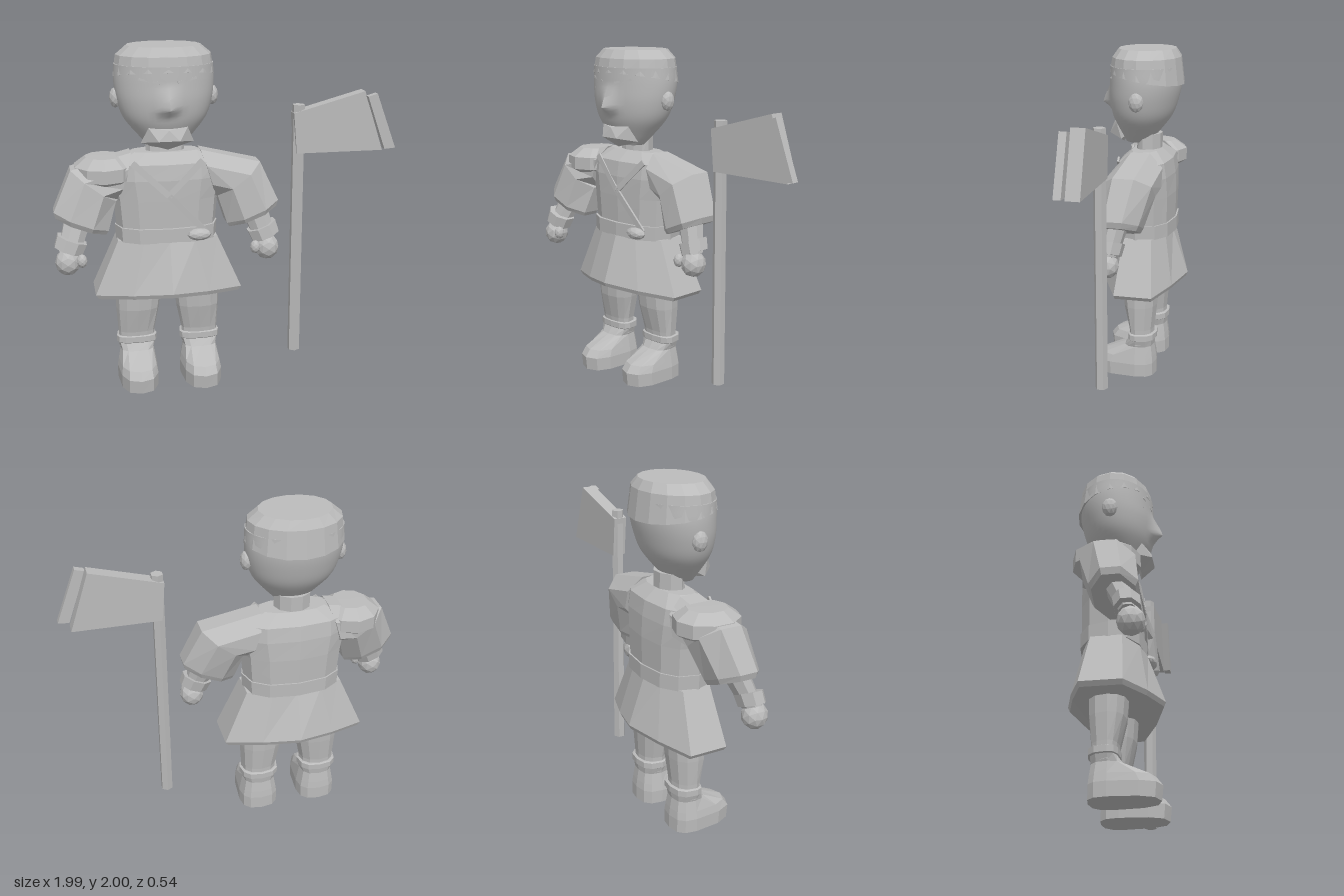
import * as THREE from 'three';
import { toCreasedNormals } from 'three/addons/utils/BufferGeometryUtils.js';
import { ConvexGeometry } from 'three/addons/geometries/ConvexGeometry.js';

const FLAT = 0.02;
const CX = -0.34; // centre line of the figure

// Skin a stack of rings (arrays of [x, y, z]) running bottom to top, with closed ends
function loft(rings, crease = FLAT) {
  const n = rings[0].length, pos = [], idx = [];
  rings.forEach(r => r.forEach(p => pos.push(...p)));
  for (let k = 0; k < rings.length - 1; k++) {
    for (let i = 0; i < n; i++) {
      const a = k * n + i, b = k * n + (i + 1) % n;
      idx.push(a, b, b + n, a, b + n, a + n);
    }
  }
  const top = (rings.length - 1) * n;
  for (let i = 1; i < n - 1; i++) {
    idx.push(0, i + 1, i);
    idx.push(top, top + i, top + i + 1);
  }
  const g = new THREE.BufferGeometry();
  g.setAttribute('position', new THREE.Float32BufferAttribute(pos, 3));
  g.setIndex(idx);
  return toCreasedNormals(g, crease);
}

// Level oval ring; power under 1 makes it boxier, tilt raises the front
function oval([y, rx, zf, zb, cx = 0, tilt = 0], n = 12, power = 1) {
  const out = [], bend = v => Math.sign(v) * Math.abs(v) ** power;
  for (let i = 0; i < n; i++) {
    const a = (i / n) * Math.PI * 2;
    const s = -bend(Math.sin(a));
    const z = s > 0 ? s * zf : -s * zb;
    out.push([cx + rx * bend(Math.cos(a)), y + tilt * z, z]);
  }
  return out;
}

// Tilted ring for arms: centre, outward half vector (ux, uy) and half depth
function armRing([x, y, z, ux, uy, rz], side, n = 8) {
  const out = [], k = 1 / Math.cos(Math.PI / n);
  for (let i = 0; i < n; i++) {
    const a = ((i + 0.5) / n) * Math.PI * 2;
    const c = Math.cos(a) * k, s = Math.sin(a) * k;
    out.push([side * x + ux * c, y + side * uy * c, z - rz * s]);
  }
  return out;
}

export function createModel() {
  const model = new THREE.Group();
  const figure = new THREE.Group();
  figure.name = 'figure';
  figure.position.x = CX;
  const grey = new THREE.MeshStandardMaterial({ color: 0xbbbbbb });
  grey.name = 'grey';

  const add = (name, geometry, parent = figure, position = [0, 0, 0], scale = [1, 1, 1]) => {
    const m = new THREE.Mesh(geometry, grey);
    m.name = name;
    m.position.set(...position);
    m.scale.set(...scale);
    parent.add(m);
    return m;
  };
  const ball = (detail = 1) => toCreasedNormals(new THREE.IcosahedronGeometry(1, detail), FLAT);
  // Thin flat band laid between two points on the front
  const band = (name, a, b, width, thick = 0.012) => {
    const p = new THREE.Vector3(...a), q = new THREE.Vector3(...b);
    const m = add(name, new THREE.BoxGeometry(width, thick, p.distanceTo(q)));
    const d = q.clone().sub(p).normalize();
    const side = new THREE.Vector3(0, 0, 1).cross(d).normalize();
    m.quaternion.setFromRotationMatrix(new THREE.Matrix4().makeBasis(side, d.clone().cross(side), d));
    m.position.copy(p.add(q).multiplyScalar(0.5));
  };

  // Head: smooth egg with a nose pulled out of the front
  const headCurve = new THREE.CatmullRomCurve3([
    [0.1, 1.44, 0.045], [0.155, 1.5, 0.035], [0.235, 1.6, 0.02],
    [0.27, 1.7, 0.01], [0.283, 1.8, 0], [0.28, 1.9, 0],
  ].map(p => new THREE.Vector3(...p)));
  const headRings = headCurve.getPoints(26).map(({ x, y, z }) => {
    const rz = x * 0.755;
    return oval([y, x, rz, -rz], 40).map(([px, py, pz]) => {
      const ramp = py > 1.67 ? Math.max(0, 1 - (py - 1.67) / 0.13) : Math.max(0, 1 - (1.67 - py) / 0.05);
      const nose = pz > 0 ? 0.06 * ramp * Math.exp(-((px / 0.045) ** 2)) : 0;
      return [px, py, pz + z + nose];
    });
  });
  add('head', loft(headRings, 0.9));
  add('neck', loft([oval([1.36, 0.11, 0.06, -0.1], 10), oval([1.49, 0.11, 0.04, -0.1], 10)]));

  // Cap, lower at the back
  add('cap', loft([
    oval([1.83, 0.287, 0.215, -0.23, 0, 0.18], 16),
    oval([1.95, 0.27, 0.2, -0.21], 16),
    oval([2.0, 0.21, 0.165, -0.18], 16),
  ]));

  // Beard around the mouth
  add('beard', new ConvexGeometry([
    [-0.15, 1.47, 0.12], [-0.11, 1.56, 0.16], [0.11, 1.56, 0.16], [0.15, 1.47, 0.12],
    [0, 1.43, 0.14], [-0.06, 1.49, 0.212], [0.06, 1.49, 0.212], [0, 1.55, 0.2],
  ].map(p => new THREE.Vector3(...p))));

  for (const s of [-1, 1]) {
    const tag = s > 0 ? 'left' : 'right';
    add(tag + 'Ear', ball(), figure, [s * 0.275, 1.71, 0], [0.035, 0.058, 0.045]);
    band(tag + 'Eye', [s * 0.07, 1.765, 0.203], [s * 0.16, 1.775, 0.172], 0.012, 0.008);
    band(tag + 'Brow', [s * 0.05, 1.815, 0.21], [s * 0.16, 1.835, 0.176], 0.012, 0.008);
  }

  // Shirt body, belt and flared skirt
  add('shirt', loft([
    [0.95, 0.29, 0.15, -0.185], [1.13, 0.305, 0.155, -0.19], [1.25, 0.33, 0.155, -0.185],
    [1.34, 0.33, 0.14, -0.17], [1.4, 0.2, 0.07, -0.1],
  ].map(r => oval(r, 12, 0.8))));
  add('belt', loft([[0.885, 0.295, 0.17, -0.195], [0.97, 0.3, 0.17, -0.195]].map(r => oval(r, 12, 0.8))));
  const hem = [[0.43, -0.13], [0.22, -0.21], [0, -0.27], [-0.22, -0.21], [-0.43, -0.13],
    [-0.43, 0.1], [-0.22, 0.2], [0, 0.27], [0.22, 0.2], [0.43, 0.1]];
  add('skirt', loft([
    hem.map(([x, z]) => [x * 0.96, 0.585 - 0.09 * Math.abs(x), z * 0.96]),
    hem.map(([x, z]) => [x, 0.61 - 0.09 * Math.abs(x), z]),
    hem.map(([x, z]) => [x * 0.675, 0.89, z * (Math.abs(x) > 0.1 ? 0.75 : 0.64)]),
  ]));

  // Collar, sash and pouch
  for (const s of [-1, 1]) {
    band('collar', [s * 0.2, 1.355, 0.125], [0, 1.165, 0.16], 0.035);
  }
  band('sash', [0, 1.165, 0.16], [0.21, 0.94, 0.145], 0.035);
  add('pouch', ball(), figure, [0.17, 0.93, 0.165], [0.07, 0.036, 0.04]);

  for (const s of [-1, 1]) {
    const tag = s > 0 ? 'left' : 'right';
    const f = s > 0 ? 0 : 0.025; // the right arm reaches further forward
    // Sleeve, forearm, wrist cuff and hand
    add(tag + 'Sleeve', loft([
      [0.5, 1.0, 0.045 + f, 0.14, 0.055, 0.115], [0.497, 1.03, 0.045 + f, 0.152, 0.062, 0.13],
      [0.42, 1.225, 0.01 + f / 2, 0.125, 0.095, 0.15], [0.24, 1.265, -0.01, -0.04, 0.135, 0.14],
    ].map((r) => armRing([...r.slice(0, 3), r[3], r[4], r[5]], s))));
    const zh = 0.1 + f * 2.6;
    add(tag + 'Forearm', loft([
      [0.575, 0.86, zh - 0.01, 0.055, 0.022, 0.05], [0.51, 1.06, 0.05 + f, 0.07, 0.028, 0.065],
    ].map(r => armRing(r, s))));
    add(tag + 'Cuff', loft([
      [0.578, 0.875, zh - 0.015, 0.075, 0.03, 0.068], [0.553, 0.94, zh - 0.025, 0.08, 0.032, 0.072],
    ].map(r => armRing(r, s))));
    add(tag + 'Hand', ball(), figure, [s * 0.583, 0.812, zh], [0.072, 0.078, 0.075]);
    add(tag + 'Thumb', ball(), figure, [s * 0.505, 0.825, zh + 0.04], [0.03, 0.04, 0.032]);

    // Leg and boot
    add(tag + 'Leg', loft([
      [0.2, 0.105, 0.04, -0.1, s * 0.19], [0.3, 0.108, 0.05, -0.1, s * 0.19],
      [0.45, 0.128, 0.085, -0.115, s * 0.18], [0.64, 0.14, 0.1, -0.125, s * 0.17],
    ].map(r => oval(r, 12, 0.85))));
    add(tag + 'Boot', loft([
      [0, 0.118, 0.262, -0.115], [0.08, 0.12, 0.27, -0.115], [0.125, 0.112, 0.235, -0.11],
      [0.19, 0.1, 0.08, -0.1], [0.23, 0.112, 0.05, -0.105],
      [0.235, 0.12, 0.055, -0.115], [0.27, 0.12, 0.055, -0.115], [0.275, 0.108, 0.045, -0.105],
    ].map(([y, rx, zf, zb]) => oval([y, rx, zf, zb, s * 0.19], 12, 0.75))));
  }

  // Shoulder guard on the right shoulder
  const guard = [[0, 1.22], [0.12, 1.22], [0.172, 1.255], [0.172, 1.33], [0.105, 1.38], [0, 1.382]];
  add('shoulderGuard', toCreasedNormals(new THREE.LatheGeometry(
    guard.map(p => new THREE.Vector2(...p)), 10), FLAT), figure, [-0.355, 0, 0], [1, 1, 1.08]);

  // Axe standing beside the figure
  const axe = new THREE.Group();
  axe.name = 'axe';
  add('pole', toCreasedNormals(new THREE.CylinderGeometry(0.037, 0.037, 1.52, 6), FLAT), axe, [0.425, 0.89, 0.083]);
  const plate = (name, corners, z, depth) => add(name, new THREE.ExtrudeGeometry(
    new THREE.Shape(corners.map(p => new THREE.Vector2(...p))), { depth, bevelEnabled: false }), axe, [0, 0, z]);
  plate('blade', [[0.41, 1.37], [0.925, 1.37], [0.81, 1.72], [0.39, 1.605]], 0.043, 0.08);
  plate('bladeEdge', [[0.925, 1.385], [0.99, 1.39], [0.87, 1.71], [0.815, 1.695]], 0.122, 0.042);

  model.add(figure, axe);
  return model;
}
